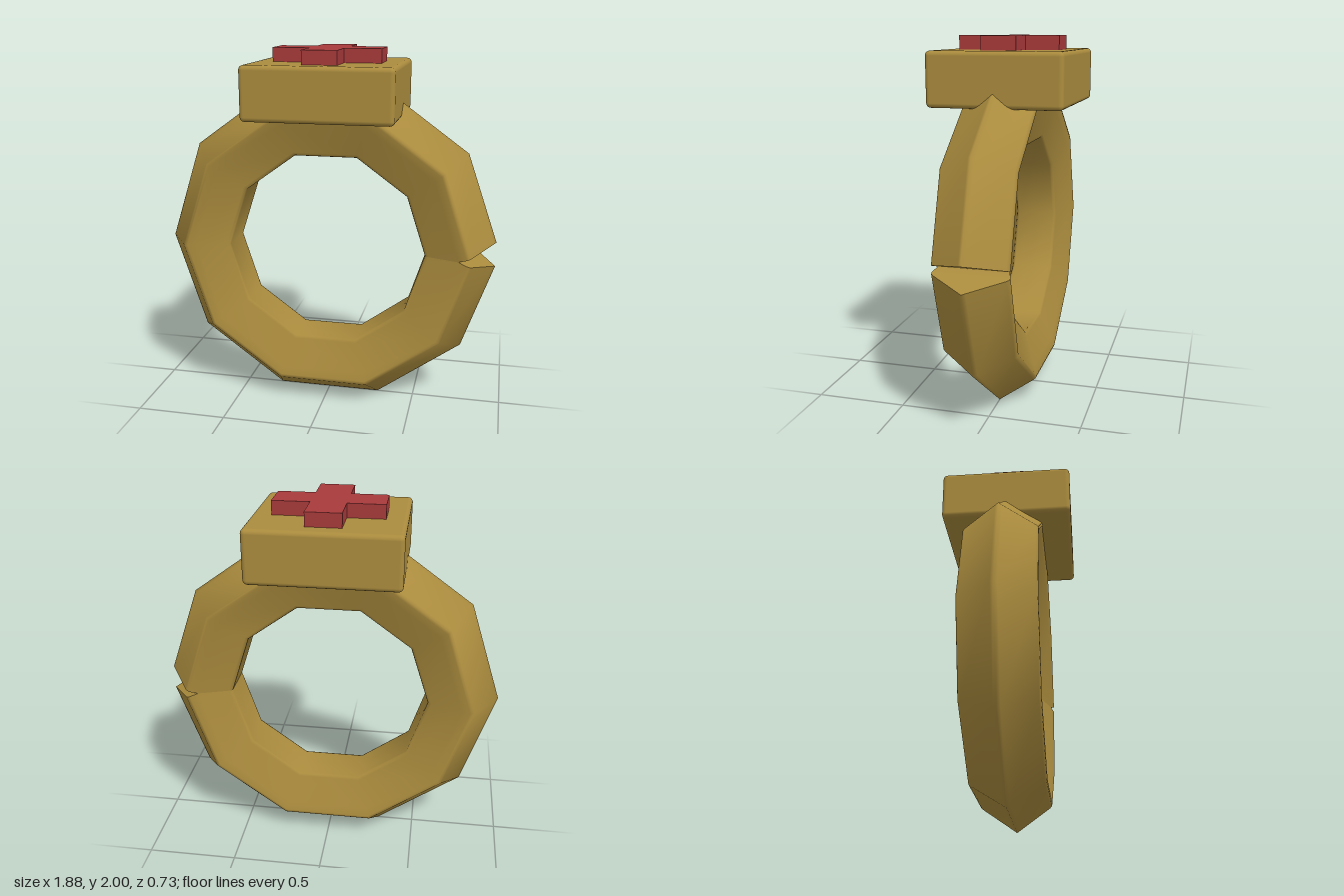
import * as THREE from 'three';
import { RoundedBoxGeometry } from 'three/addons/geometries/RoundedBoxGeometry.js';

const CENTER_Y = 0.897;
const SIDES = 10;

// Half of the band's section, as [radius, z], from outer ridge to inner wall
const HALF = [
  [0.943, 0], [0.93, 0.018], [0.813, 0.186], [0.803, 0.196], [0.787, 0.199],
  [0.74, 0.183], [0.575, 0.127], [0.56, 0.12], [0.555, 0.108], [0.555, 0],
];
const SECTION = [...HALF, ...HALF.slice(1, -1).reverse().map(([r, z]) => [r, -z])];
const N = SECTION.length;

// The band ends open into a small wedge on the +x side
function bandPoint(j, r, z) {
  const a = (j / SIDES) * Math.PI * 2;
  if (j === 0 || j === SIDES) {
    const gap = Math.max(0, r - 0.74) * 0.335;
    return [r - gap * 0.14, j === 0 ? gap : -gap, z];
  }
  return [r * Math.cos(a), r * Math.sin(a), z];
}

function makeGeometry(positions, index) {
  const g = new THREE.BufferGeometry();
  g.setAttribute('position', new THREE.Float32BufferAttribute(positions, 3));
  g.setIndex(index);
  g.computeVertexNormals();
  return g;
}

function bandGeometry() {
  const positions = [], index = [];
  for (let j = 0; j <= SIDES; j++) {
    for (const [r, z] of SECTION) positions.push(...bandPoint(j, r, z));
  }
  for (let j = 0; j < SIDES; j++) {
    for (let k = 0; k < N; k++) {
      const a = j * N + k, b = a + N;
      const c = j * N + ((k + 1) % N), d = c + N;
      index.push(a, b, c, b, d, c);
    }
  }
  return makeGeometry(positions, index);
}

// Cap closing one end of the band, in strips between mirrored points
function capGeometry(j) {
  const positions = SECTION.flatMap(([r, z]) => bandPoint(j, r, z));
  const index = [];
  const tri = (a, b, c) => (j === 0 ? index.push(a, b, c) : index.push(a, c, b));
  for (let k = 0; k < HALF.length - 1; k++) {
    const m = (N - k) % N, next = N - k - 1;
    if (k > 0) tri(m, k, k + 1);
    if (next !== k + 1) tri(m, k + 1, next);
  }
  return makeGeometry(positions, index);
}

function crossShape(armX, armY, half) {
  const pts = [
    [half, half], [half, armY], [-half, armY], [-half, half], [-armX, half], [-armX, -half],
    [-half, -half], [-half, -armY], [half, -armY], [half, -half], [armX, -half], [armX, half],
  ];
  return new THREE.Shape(pts.map(([x, y]) => new THREE.Vector2(x, y)));
}

export function createModel() {
  const gold = new THREE.MeshStandardMaterial({ color: 0xab8c3e });
  gold.name = 'gold';
  const red = new THREE.MeshStandardMaterial({ color: 0xa83a3b });
  red.name = 'red';

  const model = new THREE.Group();
  model.name = 'ring';
  const add = (name, geometry, material, y, parent = model) => {
    const mesh = new THREE.Mesh(geometry, material);
    mesh.name = name;
    mesh.position.y = y;
    parent.add(mesh);
    return mesh;
  };

  // Ten-sided band with a split on one side
  const band = new THREE.Group();
  band.name = 'band';
  model.add(band);
  add('bandLoop', bandGeometry(), gold, CENTER_Y, band);
  add('upperBandEnd', capGeometry(0), gold, CENTER_Y, band);
  add('lowerBandEnd', capGeometry(SIDES), gold, CENTER_Y, band);

  // Block on top of the band
  add('block', new RoundedBoxGeometry(0.806, 0.29, 0.726, 3, 0.025), gold, 1.78);

  // Raised cross on the block
  const cross = new THREE.ExtrudeGeometry(crossShape(0.294, 0.275, 0.094), {
    depth: 0.08, bevelEnabled: false,
  });
  cross.rotateX(-Math.PI / 2);
  add('cross', cross, red, 1.92).position.x = 0.003;

  return model;
}
